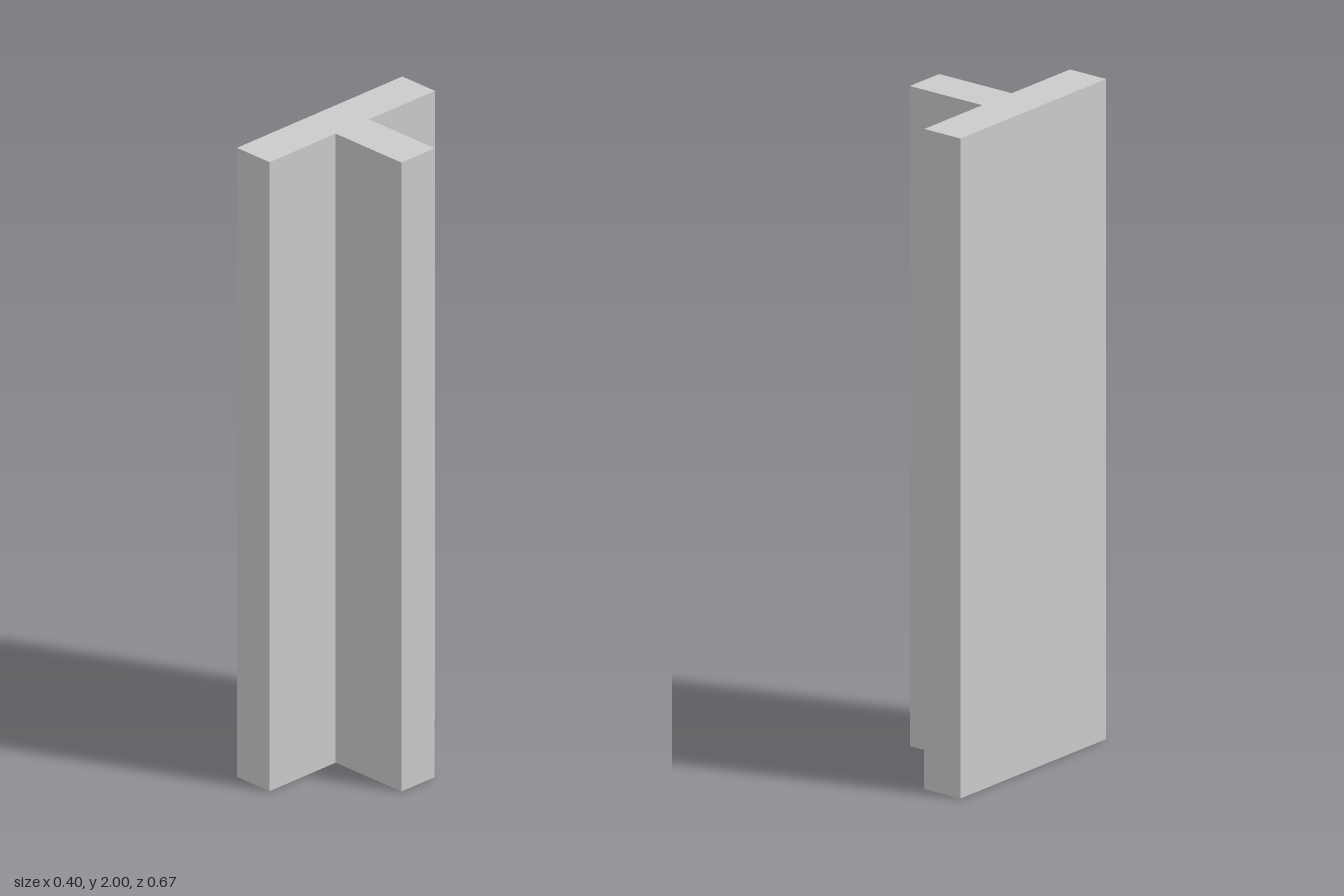
import * as THREE from 'three';

export function createModel() {
  const group = new THREE.Group();
  group.name = 'teeBeam';

  const height = 2;
  const back = -0.2, tip = 0.2;          // outer flange face and end of the web
  const inner = -0.067;                  // inner flange face
  const halfFlange = 0.333, halfWeb = 0.067;

  // T-shaped cross-section, counter-clockwise
  const section = new THREE.Shape([
    [back, -halfFlange], [inner, -halfFlange], [inner, -halfWeb], [tip, -halfWeb],
    [tip, halfWeb], [inner, halfWeb], [inner, halfFlange], [back, halfFlange],
  ].map(([x, y]) => new THREE.Vector2(x, y)));

  // Extruded along z, then stood upright
  const geometry = new THREE.ExtrudeGeometry(section, { depth: height, bevelEnabled: false });
  geometry.rotateX(-Math.PI / 2);

  const beam = new THREE.Mesh(geometry, new THREE.MeshStandardMaterial({ color: 0xcccccc }));
  beam.name = 'beam';
  group.add(beam);
  return group;
}
